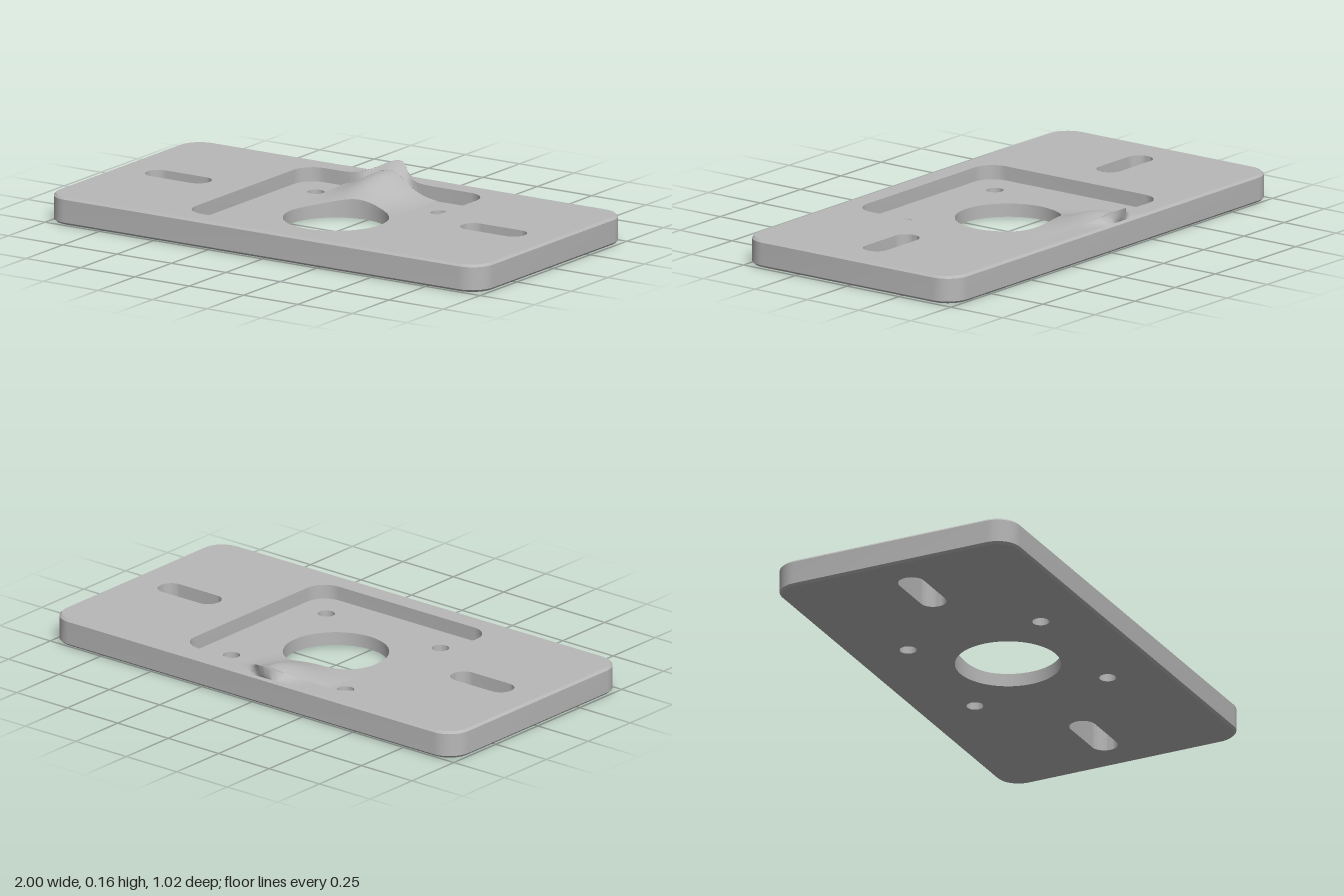
import * as THREE from 'three';
import { toCreasedNormals } from 'three/addons/utils/BufferGeometryUtils.js';

const BOTTOM = 0.004, FLOOR = 0.056, TOP = 0.112;
const HALF_X = 1, HALF_Z = 0.507, BORE = 0.203, POCKET = 0.42;
const PEAK_X = -0.055;

const gauss = (d, w) => Math.exp(-((d / w) ** 2));

// Points of a rounded rectangle, counter-clockwise (shape y = -z)
function roundedRect(hx, hy, r, steps = 10) {
  const pts = [];
  [[1, 1], [-1, 1], [-1, -1], [1, -1]].forEach(([sx, sy], q) => {
    for (let i = 0; i <= steps; i++) {
      const a = (q + i / steps) * Math.PI / 2;
      pts.push(new THREE.Vector2(sx * (hx - r) + r * Math.cos(a), sy * (hy - r) + r * Math.sin(a)));
    }
  });
  return pts;
}

const circle = (x, y, r) => new THREE.Path().absarc(x, y, r, 0, Math.PI * 2, true);

// Horizontal slab between two heights
function slab(shape, y0, y1) {
  const g = new THREE.ExtrudeGeometry(shape, { depth: y1 - y0, bevelEnabled: false, curveSegments: 32 });
  g.rotateX(-Math.PI / 2).translate(0, y0, 0);
  return toCreasedNormals(g, 0.6);
}

// Surface through rows of [x, y, z] points
function loft(rows, crease = 0.6) {
  const n = rows[0].length, index = [];
  for (let j = 0; j < rows.length - 1; j++)
    for (let i = 0; i < n - 1; i++) {
      const a = j * n + i, b = a + n;
      index.push(a, a + 1, b + 1, a, b + 1, b);
    }
  const g = new THREE.BufferGeometry();
  g.setAttribute('position', new THREE.Float32BufferAttribute(rows.flat(2), 3));
  g.setIndex(index);
  return toCreasedNormals(g, crease);
}

// Pulled-up lip: rim edge and pocket floor edge at a given x
const rimEdge = x => {
  const k = gauss(x - PEAK_X, 0.085);
  return [x, TOP + 0.052 * k, -POCKET - 0.093 * k];
};
const floorLift = (x, z) => 0.083 * gauss(x - PEAK_X, 0.13) * gauss(Math.min(0, -POCKET - z), 0.2);
const floorEdge = x => {
  const z = -POCKET - 0.03 * gauss(x - PEAK_X, 0.085);
  return [x, FLOOR + floorLift(x, -POCKET), z];
};

export function createModel() {
  const model = new THREE.Group();
  const metal = new THREE.MeshStandardMaterial({ color: 0xb8b8b8 });
  metal.name = 'grey metal';
  metal.side = THREE.DoubleSide;
  const add = (name, geometry) => {
    const mesh = new THREE.Mesh(geometry, metal);
    mesh.name = name;
    model.add(mesh);
  };

  const outline = inset => roundedRect(HALF_X - inset, HALF_Z - inset, 0.095 - inset);
  const slots = [-1, 1].map(s => {
    const pts = roundedRect(0.143, 0.052, 0.0515);
    return new THREE.Path(pts.map(p => new THREE.Vector2(p.x + s * 0.725, p.y)));
  });

  // Lower slab with bore, screw holes and slots
  const base = new THREE.Shape(outline(0.009));
  base.holes.push(circle(0, 0, BORE), ...slots);
  for (const x of [-0.283, 0.283])
    for (const y of [-0.283, 0.283]) base.holes.push(circle(x, y, 0.033));
  add('basePlate', slab(base, BOTTOM, FLOOR));

  // Upper frame around the pocket, its back wall following the lip
  const pocket = roundedRect(POCKET, POCKET, 0.085);
  const notch = [];
  for (let i = 0; i <= 40; i++) {
    const x = 0.2 - i * 0.0125;
    notch.push(new THREE.Vector2(x, Math.min(0.49, -rimEdge(x)[2])));
  }
  pocket.splice(11, 0, ...notch);
  const frame = new THREE.Shape(outline(0.009));
  frame.holes.push(new THREE.Path(pocket), ...slots);
  add('pocketFrame', slab(frame, FLOOR, TOP));

  // Outer wall with small chamfers
  const profile = [[0.009, BOTTOM], [0, BOTTOM + 0.009], [0, TOP - 0.009], [0.009, TOP]];
  add('outerWall', loft(profile.map(([inset, y]) => {
    const ring = outline(inset).map(p => [p.x, y, -p.y]);
    return [...ring, ring[0]];
  }), 0.5));

  // Pulled-up lip on the back rim and the swollen floor in front of it
  const xs = Array.from({ length: 49 }, (_, i) => -0.3 + i * 0.01);
  add('lipFront', loft([xs.map(floorEdge), xs.map(rimEdge)].reverse()));
  const backRows = [];
  for (let j = 0; j <= 5; j++) {
    const t = j / 5;
    backRows.push(xs.map(x => {
      const [, y, z] = rimEdge(x);
      const sag = (1 - t) ** 1.4;
      return [x, TOP + 0.0004 + (y - TOP) * sag, z + (-0.499 - z) * t];
    }));
  }
  add('lipBack', loft(backRows.reverse()));

  const boreZ = x => -Math.sqrt(Math.max(0, BORE * BORE - x * x));
  const floorXs = xs.filter(x => x > -0.245);
  const floorRows = [];
  for (let j = 0; j <= 12; j++) {
    floorRows.push(floorXs.map(x => {
      const edge = floorEdge(x);
      const z = edge[2] + (boreZ(x) - edge[2]) * j / 12;
      return [x, FLOOR - 0.001 + floorLift(x, z), z];
    }));
  }
  add('raisedFloor', loft(floorRows.reverse()));

  // Bore wall up to the raised floor
  const boreXs = floorXs.filter(x => Math.abs(x) < BORE);
  add('raisedBoreWall', loft([
    boreXs.map(x => [x, FLOOR - 0.002, boreZ(x)]),
    boreXs.map(x => [x, FLOOR - 0.001 + floorLift(x, boreZ(x)), boreZ(x)]),
  ]));

  // Slight swelling under the lip
  const swell = [];
  for (let j = 0; j <= 8; j++) {
    const z = -0.49 + j * 0.03;
    swell.push(floorXs.map(x => [x, BOTTOM + 0.0005 - 0.0045 * gauss(x - PEAK_X, 0.07) * gauss(z + 0.42, 0.07), z]));
  }
  add('undersideSwell', loft(swell));
  return model;
}
